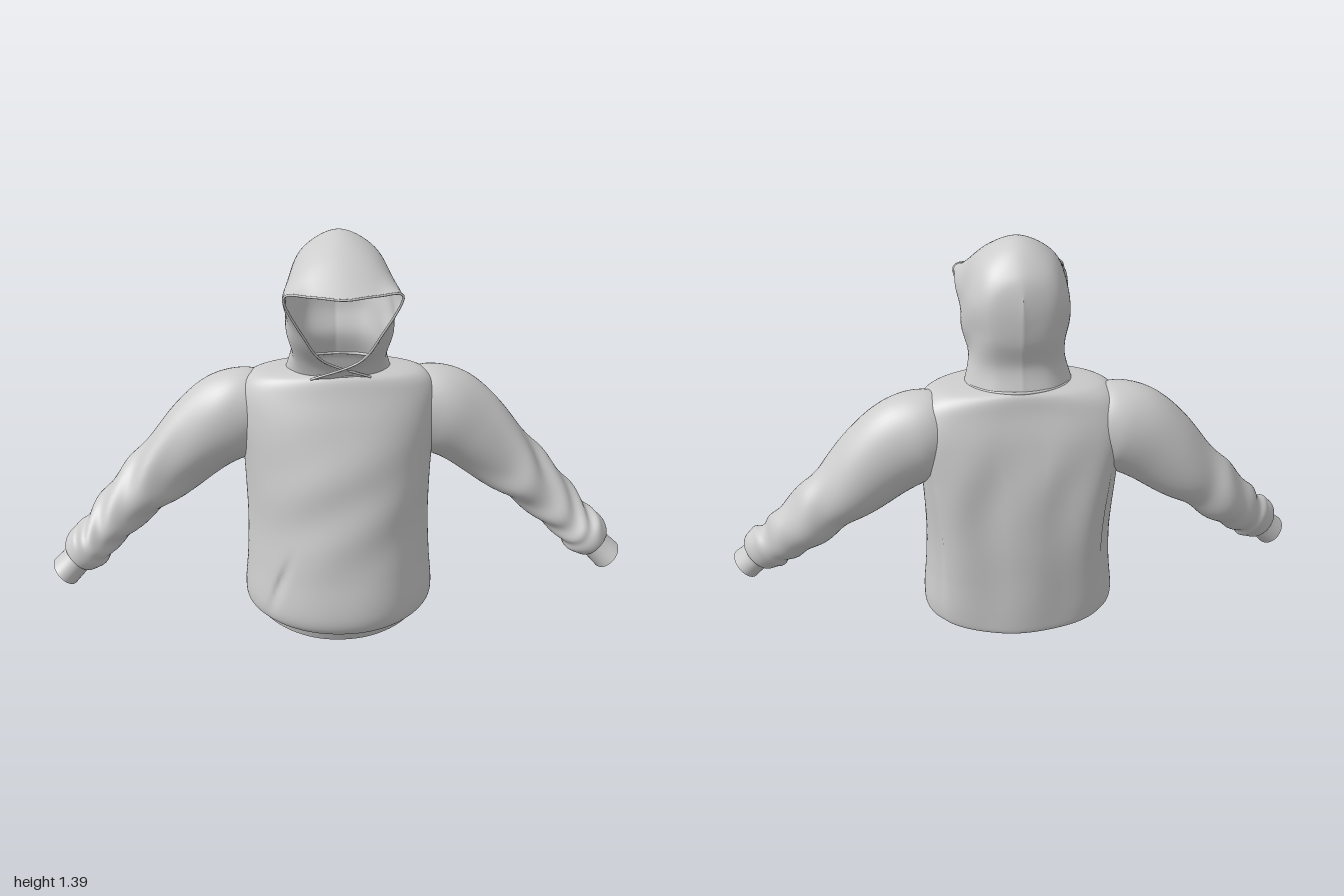
import * as THREE from 'three';
import { mergeVertices } from 'three/addons/utils/BufferGeometryUtils.js';

const { sin, cos, abs, sign, pow, exp, PI } = Math;
const V = (x, y, z) => new THREE.Vector3(x, y, z);
const bump = (t, centre, width) => exp(-(((t - centre) / width) ** 2));

// Smooth interpolation of a list of equally long number arrays, t from 0 to 1
function spline(keys, t) {
  const n = keys.length - 1, f = t * n, i = Math.min(Math.floor(f), n - 1), u = f - i;
  const k = (m) => keys[Math.max(0, Math.min(n, m))];
  return keys[0].map((_, c) => {
    const a = k(i - 1)[c], b = k(i)[c], d = k(i + 1)[c], e = k(i + 2)[c];
    const m0 = (d - a) / 2, m1 = (e - b) / 2;
    return b + u * (m0 + u * (3 * (d - b) - 2 * m0 - m1 + u * (2 * (b - d) + m0 + m1)));
  });
}

// Skin over a grid of points; rows may close into rings
function skin(rows, cols, point, { closed = true, flip = false } = {}) {
  const pos = [], idx = [], w = closed ? cols : cols + 1;
  for (let i = 0; i <= rows; i++)
    for (let j = 0; j < w; j++) pos.push(...point(i / rows, j / cols).toArray());
  for (let i = 0; i < rows; i++)
    for (let j = 0; j < cols; j++) {
      const a = i * w + j, c = i * w + ((j + 1) % w), b = a + w, d = c + w;
      if (flip) idx.push(a, c, b, b, c, d);
      else idx.push(a, b, c, b, d, c);
    }
  let g = new THREE.BufferGeometry();
  g.setAttribute('position', new THREE.Float32BufferAttribute(pos, 3));
  g.setIndex(idx);
  g = mergeVertices(g, 1e-4);
  g.computeVertexNormals();
  return g;
}

// Body outline: round at the front, squarer at the back
function bodyPoint(a, y, w, front, back, square) {
  const s = sin(a), c = cos(a), p = 2 / (s > 0 ? 2.1 : square), zc = -0.06;
  const z = zc + (s > 0 ? front - zc : zc - back) * sign(s) * pow(abs(s), p);
  return V(w * sign(c) * pow(abs(c), p), y, z);
}

// Body rings: height, half width, front z, back z, squareness of the back
const BODY = [
  [0.09, 0.31, 0.215, -0.25, 2.2], [0.082, 0.33, 0.255, -0.275, 2.2],
  [0.13, 0.334, 0.278, -0.28, 2.3], [0.25, 0.322, 0.258, -0.28, 2.5],
  [0.4, 0.316, 0.23, -0.277, 2.9], [0.6, 0.327, 0.192, -0.262, 3.6],
  [0.75, 0.343, 0.147, -0.24, 4.2], [0.85, 0.335, 0.107, -0.215, 3.6],
  [0.905, 0.285, 0.086, -0.203, 2.5], [0.924, 0.172, 0.07, -0.19, 2],
];

// Sleeve rings: centre x, y, z, half height, half depth
const SLEEVE = [
  [0.2, 0.765, -0.09, 0.11, 0.09], [0.29, 0.758, -0.095, 0.148, 0.122],
  [0.37, 0.735, -0.095, 0.158, 0.132], [0.475, 0.665, -0.095, 0.142, 0.124],
  [0.6, 0.555, -0.09, 0.117, 0.115], [0.685, 0.478, -0.08, 0.1, 0.112],
  [0.765, 0.405, -0.06, 0.09, 0.105], [0.835, 0.335, -0.022, 0.076, 0.094],
  [0.878, 0.298, 0.004, 0.083, 0.088], [0.91, 0.266, 0.016, 0.066, 0.074],
  [0.905, 0.27, 0.016, 0.052, 0.062],
];
const CUFF = [
  [0.885, 0.293, 0.015, 0.052, 0.064], [0.926, 0.25, 0.025, 0.052, 0.066],
  [0.96, 0.217, 0.035, 0.054, 0.07],
];

// Hood arches from the face opening to the back seam, each from collar to crown
const HOOD = [
  [[-0.1, 0.918, 0.07], [0.055, 0.985, 0.108], [0.125, 1.085, 0.157], [0.187, 1.222, 0.2], [0.1, 1.232, 0.23], [0, 1.226, 0.25]],
  [[0.09, 0.915, 0.055], [0.145, 1.0, 0.065], [0.17, 1.1, 0.095], [0.185, 1.22, 0.12], [0.11, 1.3, 0.128], [0, 1.33, 0.13]],
  [[0.168, 0.918, -0.02], [0.16, 1.0, 0], [0.174, 1.1, 0.01], [0.172, 1.22, 0.02], [0.12, 1.33, 0.01], [0, 1.388, 0]],
  [[0.169, 0.92, -0.1], [0.145, 1.0, -0.1], [0.155, 1.1, -0.1], [0.155, 1.22, -0.1], [0.105, 1.32, -0.098], [0, 1.372, -0.09]],
  [[0.1, 0.922, -0.17], [0.09, 1.0, -0.155], [0.1, 1.1, -0.172], [0.105, 1.2, -0.172], [0.07, 1.27, -0.168], [0, 1.303, -0.165]],
  [[0, 0.922, -0.192], [0, 1.0, -0.174], [0, 1.08, -0.194], [0, 1.14, -0.2], [0, 1.19, -0.2], [0, 1.23, -0.195]],
];

export function createModel() {
  const model = new THREE.Group();
  model.name = 'hoodedSweatshirt';
  const cloth = new THREE.MeshStandardMaterial({ color: 0xcccccc, side: THREE.DoubleSide });
  cloth.name = 'lightGreyCloth';
  const add = (name, geometry) => {
    const mesh = new THREE.Mesh(geometry, cloth);
    mesh.name = name;
    model.add(mesh);
  };

  // Body with soft diagonal creases in front, long folds behind and a pleat down each side
  add('body', skin(80, 128, (t, u) => {
    const a = u * 2 * PI, [y, w, f, b, q] = spline(BODY, t);
    const p = bodyPoint(a, y, w, f, b, q);
    const fade = bump(y, 0.42, 0.3), s = sin(a);
    const fold = s > 0
      ? 0.004 * sin(13 * p.x - 16 * y + 2 * sin(6 * y))
      : 0.008 * sin(24 * p.x + 5 * y + sin(9 * y));
    p.z += fold * fade * s * s * sign(s);
    if (s > 0) p.z -= 0.016 * bump(p.x + 0.22 - (y - 0.2) * 0.35, 0, 0.014) * bump(y, 0.21, 0.08);
    p.x += (0.004 * sin(22 * p.z + 7 * y) - 0.012 * bump(p.z, -0.19, 0.016)) * fade * cos(a);
    p.y -= 0.028 * s * s * bump(y, 0.08, 0.08);
    return p;
  }));

  // Waistband, dipping at the front and arched at the back
  add('waistband', skin(6, 96, (t, u) => {
    const a = u * 2 * PI, s = sin(a);
    const low = 0.047 + (s > 0 ? -0.047 : 0.025) * s * s;
    return bodyPoint(a, low + t * 0.075, 0.3 + 0.012 * t, 0.2 + 0.025 * t, -0.225 - 0.03 * t, 2.2);
  }));

  // Sleeves with creases gathered at the elbow and the wrist
  const tubeSkin = (keys, rows, crease, side) => skin(rows, 48, (t, u) => {
    const [x, y, z, h, d] = spline(keys, t);
    const t0 = Math.min(t, 0.85);
    const p0 = spline(keys, Math.max(0, t0 - 0.08)), p1 = spline(keys, t0 + 0.08);
    const T = V(p1[0] - p0[0], p1[1] - p0[1], 0).normalize();
    const a = u * 2 * PI;
    const gather = 0.3 + bump(t, 0.43, 0.09) + 0.7 * bump(t, 0.7, 0.12);
    const k = 1 + crease * gather * bump(t, 0.55, 0.35)
      * sin(40 * t + 2.4 * sin(a + 0.6) + 1.5 * cos(2 * a) + 2 * sin(9 * t));
    return V(
      side * (x - T.y * h * k * cos(a)),
      y + T.x * h * k * cos(a),
      z - d * k * sin(a),
    );
  }, { flip: side < 0 });
  for (const [label, side] of [['left', 1], ['right', -1]]) {
    add(label + 'Sleeve', tubeSkin(SLEEVE, 100, 0.065, side));
    add(label + 'Cuff', tubeSkin(CUFF, 10, 0, side));
  }

  // Hood, with its two front edges crossing at the throat
  const arches = HOOD.map((half, i) => [
    ...half.map(([x, y, z], j) => [x, y, z + (i === 0 && j < 2 ? 0.014 : 0)]),
    ...half.slice(0, -1).reverse().map(([x, y, z]) => [-x, y, z]),
  ]);
  const hoodPoint = (t, u) => {
    const [x, y, z] = spline(arches.map((arch) => spline(arch, u)), t);
    const crease = 0.03 * sin(PI * t) * sin(30 * y + 24 * z) * bump(y, 1.08, 0.1);
    return V(x * (1 + crease), y, z);
  };
  add('hood', skin(50, 80, hoodPoint, { closed: false }));

  // Stitched hem around the face opening
  const rim = [];
  for (let i = 0; i <= 40; i++) rim.push(hoodPoint(0, i / 40));
  add('hoodHem', new THREE.TubeGeometry(new THREE.CatmullRomCurve3(rim), 120, 0.004, 8));

  // Seam where the hood joins the body
  const collar = [];
  for (let i = 0; i < 32; i++) {
    const a = (i / 32) * 2 * PI;
    collar.push(V(0.172 * cos(a), 0.922, -0.06 + 0.131 * sin(a)));
  }
  add('collarSeam', new THREE.TubeGeometry(new THREE.CatmullRomCurve3(collar, true), 96, 0.005, 8, true));

  return model;
}
